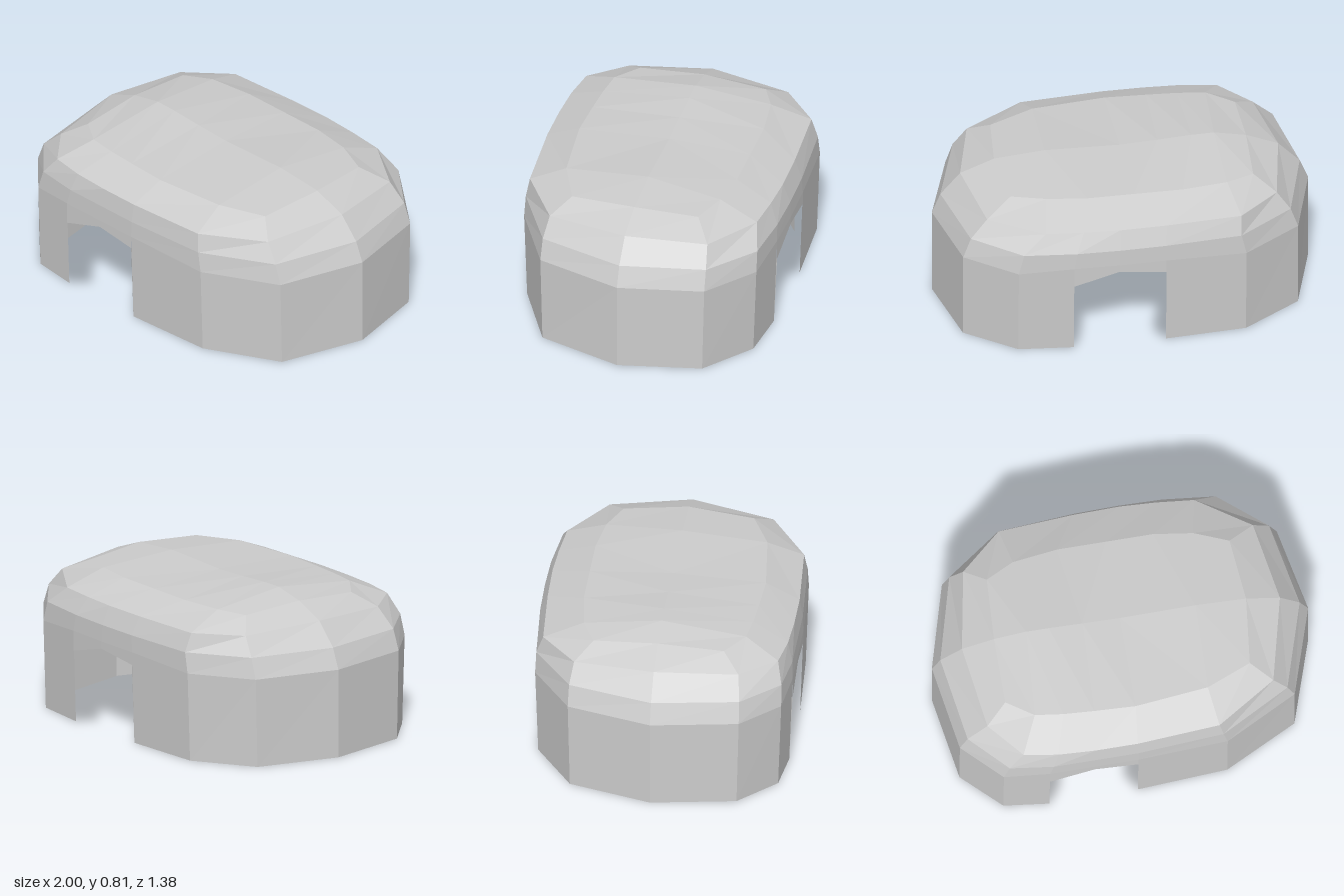
import * as THREE from 'three';

// Plan outlines as [x, z], sixteen corners from the +x tip round the front.
// Corners 3-5 frame the front doorway, 11-13 the back doorway.
const OUTER = [[1, 0], [0.85, 0.46], [0.46, 0.66], [-0.02, 0.69], [-0.25, 0.69], [-0.49, 0.69], [-0.73, 0.66], [-0.93, 0.46],
  [-1, 0], [-0.87, -0.45], [-0.56, -0.66], [-0.13, -0.69], [0.12, -0.695], [0.36, -0.69], [0.65, -0.66], [0.91, -0.45]];
const EAVES = [[0.85, 0], [0.74, 0.44], [0.42, 0.64], [-0.02, 0.67], [-0.24, 0.67], [-0.44, 0.66], [-0.62, 0.63], [-0.78, 0.44],
  [-0.84, 0], [-0.76, -0.43], [-0.54, -0.62], [-0.14, -0.645], [0.11, -0.65], [0.3, -0.64], [0.5, -0.62], [0.78, -0.43]];
const CROWN = [[0.67, 0], [0.63, 0.35], [0.39, 0.45], [0, 0.49], [-0.22, 0.48], [-0.38, 0.47], [-0.53, 0.45], [-0.67, 0.35],
  [-0.67, 0], [-0.65, -0.34], [-0.5, -0.41], [-0.26, -0.44], [0, -0.44], [0.25, -0.44], [0.46, -0.41], [0.64, -0.34]];
const INNER = [[0.86, 0], [0.74, 0.38], [0.42, 0.54], [-0.08, 0.58], [-0.25, 0.58], [-0.42, 0.58], [-0.64, 0.54], [-0.8, 0.38],
  [-0.86, 0], [-0.76, -0.37], [-0.5, -0.54], [-0.08, -0.57], [0.12, -0.57], [0.31, -0.57], [0.56, -0.54], [0.79, -0.37]];
const N = OUTER.length;
const LINTEL = { 3: 0.43, 4: 0.46, 5: 0.38, 11: 0.43, 12: 0.46, 13: 0.39 };
const DOORS = [3, 11]; // first corner of each two-panel doorway
const isDoor = (j) => DOORS.some((d) => j === d || j === d + 1);

const ring = (plan, y, sx = 1, sz = 1) =>
  plan.map(([x, z], j) => [x * sx, typeof y === 'function' ? y(j) : y, z * sz]);

// Collects flat quads and triangles into one faceted mesh
function facetMesh(name, build) {
  const pos = [];
  const tri = (a, b, c) => pos.push(...a, ...b, ...c);
  const quad = (a, b, c, d) => { tri(a, b, c); tri(a, c, d); };
  build(quad, tri);
  const geo = new THREE.BufferGeometry();
  geo.setAttribute('position', new THREE.Float32BufferAttribute(pos, 3));
  geo.computeVertexNormals();
  const mesh = new THREE.Mesh(geo, new THREE.MeshStandardMaterial({ color: 0xcccccc, flatShading: true }));
  mesh.name = name;
  return mesh;
}

export function createModel() {
  const group = new THREE.Group();
  group.name = 'hollowShelter';

  const foot = ring(OUTER, 0, 1, 0.975);
  const lintelOut = ring(OUTER, (j) => LINTEL[j] ?? 0);
  const wallTop = ring(OUTER, (j) => (LINTEL[j] ? 0.5 : 0.48));
  const shoulder = ring(OUTER, 0.59, 0.955, 0.995);
  const eaves = ring(EAVES, (j) => (j % 8 === 0 ? 0.71 : 0.69));
  const crown = ring(CROWN, (j) => (j % 8 === 0 ? 0.78 : [1, 7, 9, 15].includes(j) ? 0.76 : 0.77));
  const footIn = ring(INNER, 0);
  const lintelIn = ring(INNER, (j) => LINTEL[j] ?? 0);
  const ceiling = ring(INNER, 0.6);

  const band = (quad, low, high, j) => {
    const k = (j + 1) % N;
    quad(low[k], low[j], high[j], high[k]);
  };

  // Outer wall, left open below each lintel
  group.add(facetMesh('outerWall', (quad) => {
    for (let j = 0; j < N; j++) band(quad, isDoor(j) ? lintelOut : foot, wallTop, j);
  }));

  // Rounded shoulders between wall and roof
  group.add(facetMesh('shoulders', (quad) => {
    const rows = [wallTop, shoulder, eaves, crown];
    for (let r = 0; r < 3; r++) for (let j = 0; j < N; j++) band(quad, rows[r], rows[r + 1], j);
  }));

  // Roof: strips running from the front crown over a gently sagging ridge to the back
  group.add(facetMesh('roof', (quad) => {
    const ridge = [[0.67, 0.78], [0.4, 0.803], [0, 0.793], [-0.2, 0.802], [-0.38, 0.813], [-0.5, 0.815], [-0.67, 0.78]]
      .map(([x, y]) => [x, y, 0]);
    for (let k = 1; k < 7; k++) {
      quad(crown[k], ridge[k - 1], ridge[k], crown[k + 1]);
      quad(ridge[k - 1], crown[N - k], crown[N - k - 1], ridge[k]);
    }
  }));

  // Inside wall and flat ceiling
  group.add(facetMesh('innerWall', (quad) => {
    for (let j = 0; j < N; j++) band(quad, ceiling, isDoor(j) ? lintelIn : footIn, j);
  }));
  group.add(facetMesh('ceiling', (quad, tri) => {
    for (let j = 0; j < N; j++) tri([0, 0.61, 0], ceiling[j], ceiling[(j + 1) % N]);
  }));

  // Underside of the thick wall
  group.add(facetMesh('baseRim', (quad) => {
    for (let j = 0; j < N; j++) if (!isDoor(j)) band(quad, footIn, foot, j);
  }));

  // Doorway jambs and arched lintel undersides
  DOORS.forEach((d, i) => {
    group.add(facetMesh(i ? 'backDoorway' : 'frontDoorway', (quad) => {
      const e = d + 2;
      quad(foot[d], footIn[d], lintelIn[d], lintelOut[d]);
      quad(footIn[e], foot[e], lintelOut[e], lintelIn[e]);
      for (let j = d; j < e; j++) band(quad, lintelIn, lintelOut, j);
    }));
  });

  return group;
}
